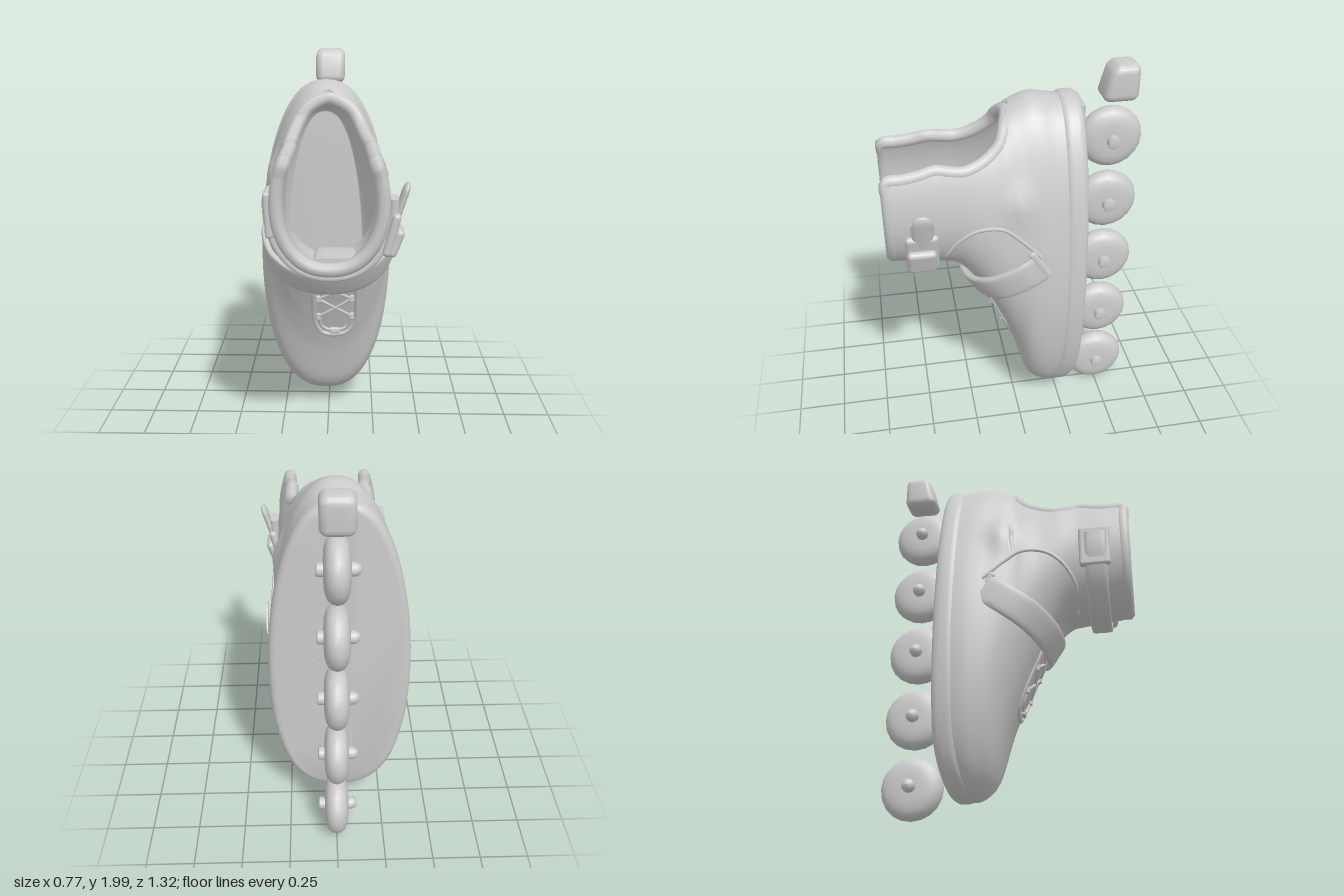
import * as THREE from 'three';
import { toCreasedNormals } from 'three/addons/utils/BufferGeometryUtils.js';
import { RoundedBoxGeometry } from 'three/addons/geometries/RoundedBoxGeometry.js';

const V = (x, y, z) => new THREE.Vector3(x, y, z);
const mat = new THREE.MeshStandardMaterial({ color: 0xcccccc, side: THREE.DoubleSide });

// Boot outline per height z: [z, low y, high y, half width, centre x, wrap (1 = closed heel)]
const ROWS = [
  [-0.26, 0.11, 1.84, 0.355, -0.02, 1],
  [-0.17, 0.09, 1.85, 0.352, -0.02, 1],
  [-0.11, 0.12, 1.865, 0.345, -0.015, 1],
  [-0.06, 0.19, 1.865, 0.335, -0.01, 1],
  [0.00, 0.39, 1.845, 0.322, -0.005, 1],
  [0.03, 0.48, 1.83, 0.315, 0, 1],
  [0.07, 0.58, 1.81, 0.308, 0.005, 0.847],
  [0.12, 0.70, 1.79, 0.30, 0.005, 0.79],
  [0.20, 0.87, 1.78, 0.285, 0.01, 0.73],
  [0.30, 1.00, 1.78, 0.275, 0.015, 0.685],
  [0.39, 1.03, 1.78, 0.27, 0.02, 0.70],
  [0.50, 1.04, 1.78, 0.27, 0.02, 0.675],
  [0.63, 1.06, 1.78, 0.268, 0.02, 0.656],
];

// Smoothly interpolated outline row at height z
function rowAt(z) {
  let i = 0;
  while (i < ROWS.length - 2 && z > ROWS[i + 1][0]) i++;
  const R = (k) => ROWS[Math.min(ROWS.length - 1, Math.max(0, k))];
  const [a, b, c, d] = [R(i - 1), R(i), R(i + 1), R(i + 2)];
  const t = (z - b[0]) / (c[0] - b[0]);
  return b.map((p, k) => {
    const m0 = (c[k] - a[k]) / 2, m1 = (d[k] - p) / 2, q = c[k];
    const v = p + t * (m0 + t * (3 * (q - p) - 2 * m0 - m1 + t * (2 * (p - q) + m0 + m1)));
    return k === 5 ? Math.min(1, v) : v;
  });
}

// Relative half width of an outline; blunter near the sole, wider at the toe (cs = 1)
const spread = (cs, z) => Math.max(0, 1 - cs * cs) ** (0.45 - 0.035 * Math.min(1, Math.max(0, -z / 0.15))) * (1 + 0.08 * cs);

// Point on the boot wall: s = 0 is the instep, s = +-1 the heel or notch edge
function wall(s, z, inset = 0) {
  const [, lo, hi, w, xc, wrap] = rowAt(z);
  const cs = Math.cos(s * Math.PI * wrap);
  const y = (lo + hi) / 2 - ((hi - lo) / 2 - inset) * cs;
  const ankle = 0.028 * Math.exp(-((y - 1.42) ** 2 + z * z) / 0.006); // soft ankle bulge
  return V(xc + Math.sign(s) * ((w - inset) * spread(cs, z) + ankle), y, z);
}

// Point on the side of the boot (dir = +-1) at a given y and z
function flank(dir, y, z) {
  const [, lo, hi, w, xc] = rowAt(z);
  return V(xc + dir * w * spread((lo + hi - 2 * y) / (hi - lo), z), y, z);
}

// Point on the instep at x, y, raised by lift
function on(x, y, lift) {
  let z = 0.3;
  while (z > -0.2 && Math.abs(x - rowAt(z)[4]) >= Math.abs(flank(1, y, z).x - rowAt(z)[4])) z -= 0.004;
  return V(x, y, z + lift);
}

// Skin closed rings of equal length, with optional fan caps and extra triangles
function loft(rings, caps, extra = []) {
  const n = rings[0].length, pts = rings.flat(), idx = [...extra];
  for (let k = 0; k < rings.length - 1; k++)
    for (let i = 0; i < n; i++) {
      const a = k * n + i, b = k * n + (i + 1) % n;
      idx.push(a, b, b + n, a, b + n, a + n);
    }
  if (caps) for (let i = 1; i < n - 1; i++) {
    const e = (rings.length - 1) * n;
    idx.push(0, i + 1, i, e, e + i, e + i + 1);
  }
  const g = new THREE.BufferGeometry().setFromPoints(pts);
  g.setIndex(idx);
  return toCreasedNormals(g, 1);
}

// Flat band with rounded edges along a path; side = direction of its width
function ribbon(points, side, width, thick) {
  const curve = new THREE.CatmullRomCurve3(points), rings = [];
  for (let k = 0; k <= 40; k++) {
    const p = curve.getPoint(k / 40);
    const n = curve.getTangent(k / 40).cross(side).normalize();
    rings.push(Array.from({ length: 16 }, (_, i) => {
      const a = (i + 0.5) / 16 * Math.PI * 2, c = Math.cos(a), s = Math.sin(a);
      return p.clone()
        .addScaledVector(side, Math.sign(c) * Math.abs(c) ** 0.35 * width / 2)
        .addScaledVector(n, Math.sign(s) * Math.abs(s) ** 0.5 * thick / 2);
    }));
  }
  return loft(rings, true);
}

const tube = (points, r, closed = false, n = 40) =>
  new THREE.TubeGeometry(new THREE.CatmullRomCurve3(points, closed), n, r, 8, closed);

// Move every vertex along z by a rule, then smooth all but the sharp edges
function bend(geo, rule) {
  const pos = geo.attributes.position;
  for (let i = 0; i < pos.count; i++) pos.setZ(i, pos.getZ(i) + rule(pos.getY(i), pos.getZ(i)));
  return toCreasedNormals(geo, 0.9);
}

export function createModel() {
  const model = new THREE.Group();
  const add = (name, geo, x = 0, y = 0, z = 0, parent = model) => {
    const m = new THREE.Mesh(geo, mat);
    m.name = name;
    m.position.set(x, y, z);
    parent.add(m);
    return m;
  };

  // Hollow boot: every ring runs along the outer wall and back along the bowl-shaped inner one
  const N = 64, L = 60, z0 = -0.26, z1 = 0.63, rings = [];
  for (let k = 0; k <= L; k++) {
    const z = z0 + (z1 - z0) * k / L, outer = [], inner = [];
    for (let i = 0; i <= N; i++) {
      const s = i / N * 2 - 1;
      outer.push(wall(s, z));
      const p = wall(-s, z, 0.055 + 1.6 * Math.max(0, 0.03 - z) ** 2);
      p.z = Math.max(z, -0.22);
      inner.push(p);
    }
    rings.push([...outer, ...inner]);
  }
  const M = 2 * N + 2, top = L * M, faces = [];
  for (let i = 0; i < N; i++) {
    const a = top + i, d = top + M - 1 - i;
    faces.push(a, a + 1, d - 1, a, d - 1, d);
    faces.push(M - 1, M - 1 - i, M - 2 - i); // insole
  }
  add('boot', loft(rings, false, faces));

  // Padded rim around the opening and the heel notch
  const rim = [V(0, 1.79, 0.035)], zs = [0.06, 0.085, 0.13, 0.2, 0.27, 0.34, 0.4, 0.48, 0.56];
  for (const z of zs) rim.push(wall(1, z, 0.028));
  for (let i = 0; i <= 20; i++) rim.push(wall(1 - i / 10, z1, 0.028));
  for (const z of zs.reverse()) rim.push(wall(-1, z, 0.028));
  add('rimPadding', tube(rim, 0.034, true, 180));

  // Tongue inside the front of the cuff
  add('tongue', ribbon([V(0.055, 0.97, 0.2), V(0.055, 1.07, 0.32), V(0.055, 1.105, 0.45), V(0.055, 1.115, 0.62)],
    V(1, 0, 0), 0.22, 0.05));

  // Sole with a rounded edge and a raised toe, and the mounting plate on it
  const sole = new THREE.Shape(Array.from({ length: 72 }, (_, i) => {
    const p = wall(i / 36 - 1, -0.17);
    return new THREE.Vector2(-0.02 + (p.x + 0.02) * 0.925, 0.972 + (p.y - 0.972) * 0.965);
  }));
  const soleGeo = new THREE.ExtrudeGeometry(sole, {
    depth: 0.035, bevelSize: 0.035, bevelThickness: 0.04, bevelSegments: 6 });
  add('sole', bend(soleGeo, (y) => 0.045 * Math.max(0, (0.4 - y) / 0.3) ** 2), 0, 0, -0.29);
  add('mountingPlate', new THREE.BoxGeometry(0.17, 1.48, 0.02), -0.005, 1.08, -0.331);

  // Curved lower edge of the cuff shell
  const edge = [[1.04, 0.37], [1.15, 0.37], [1.25, 0.31], [1.31, 0.22], [1.31, 0.1], [1.25, 0.02], [1.14, -0.09]];
  for (const dir of [-1, 1])
    add('cuffEdge', tube(edge.map(([y, z]) => flank(dir, y, z)), 0.01, false, 50));

  // Instep strap
  const half = [[0.335, 1.085, -0.08], [0.335, 1.03, 0.01], [0.285, 0.955, 0.13], [0.16, 0.895, 0.215]];
  const strap = [
    ...half.map(([x, y, z]) => V(-x, y, z)), V(0.005, 0.875, 0.24),
    ...half.reverse().map(([x, y, z]) => V(x, y, z))];
  add('instepStrap', ribbon(strap, V(0, 0.83, 0.55).normalize(), 0.155, 0.035));
  for (const s of [-1, 1]) {
    const clip = add('strapClip', new RoundedBoxGeometry(0.03, 0.035, 0.18, 3, 0.012), s * 0.328, 1.1, -0.085);
    clip.rotation.x = -0.98;
  }

  // Cuff strap with a lever buckle on the left and an anchor on the right
  const cuff = [];
  for (let i = 0; i <= 16; i++) cuff.push(wall(-0.72 + i * 0.09, 0.485, -0.025));
  add('cuffStrap', ribbon(cuff, V(0, 0, 1), 0.11, 0.04));
  const buckle = new THREE.Group();
  buckle.name = 'buckle';
  model.add(buckle);
  add('buckleFrame', new RoundedBoxGeometry(0.04, 0.21, 0.16, 4, 0.02), 0.305, 1.23, 0.49, buckle).rotation.z = -0.25;
  add('bucklePad', new RoundedBoxGeometry(0.045, 0.14, 0.14, 4, 0.022), 0.325, 1.19, 0.495, buckle).rotation.z = -0.35;
  const lever = add('lever', new THREE.CapsuleGeometry(0.05, 0.14, 8, 16), 0.345, 1.355, 0.485, buckle);
  lever.rotation.z = -0.3;
  lever.scale.x = 0.35;
  add('strapAnchor', new RoundedBoxGeometry(0.04, 0.22, 0.16, 3, 0.016), -0.265, 1.32, 0.48).rotation.z = 0.05;

  // Lace panel: raised border, eyelets and crossed laces
  const border = [[-0.075, 0.9], [-0.075, 0.75], [-0.07, 0.6], [-0.035, 0.53], [0.03, 0.515],
    [0.1, 0.53], [0.145, 0.6], [0.15, 0.75], [0.15, 0.9]];
  add('lacePanelBorder', tube(border.map(([x, y]) => on(x, y, -0.002)), 0.015, false, 60));
  const rows = [0.64, 0.76, 0.86], [xl, xr] = [-0.05, 0.125], up = 0.008;
  rows.forEach((y, i) => {
    for (const x of [xl, xr])
      add('eyelet', new RoundedBoxGeometry(0.03, 0.045, 0.03, 2, 0.01), ...on(x, y, 0.002).toArray());
    if (i < 2) for (const [a, b] of [[xl, xr], [xr, xl]])
      add('lace', tube([on(a, y, up), on(0.04, (y + rows[i + 1]) / 2, up), on(b, rows[i + 1], up)], 0.008));
  });
  add('laceLoop', tube([on(xl, 0.64, up), on(-0.03, 0.57, up), on(0.035, 0.545, up),
    on(0.1, 0.57, up), on(xr, 0.64, up)], 0.008));
  add('laceKnot', new RoundedBoxGeometry(0.06, 0.035, 0.03, 2, 0.01), ...on(0.035, 0.545, 0.005).toArray());

  // Five inline wheels with axle caps
  const turned = (pts, n) =>
    new THREE.LatheGeometry(pts.map(([r, h]) => new THREE.Vector2(r, h)), n).rotateZ(Math.PI / 2);
  const cheek = [[0, 0.063], [0.05, 0.063], [0.09, 0.06], [0.12, 0.053], [0.142, 0.041], [0.156, 0.022]];
  const wheelGeo = turned([...cheek.map(([r, h]) => [r, -h]), [0.162, 0], ...cheek.reverse()], 20);
  const axleGeo = turned([[0, -0.095], [0.027, -0.095], [0.033, -0.088], [0.033, 0.085], [0.022, 0.105], [0, 0.11]], 16);
  for (let i = 0; i < 5; i++) {
    const y = 0.168 + i * 0.361;
    add('wheel', wheelGeo, 0, y, -0.495);
    add('axle', axleGeo, 0, y, -0.495);
  }

  // Heel brake: rounded block whose front curves back towards the top
  const brakeGeo = new RoundedBoxGeometry(0.16, 0.185, 0.18, 5, 0.04);
  add('heelBrake', bend(brakeGeo, (y, z) => -8.6 * (y + 0.0925) ** 2 * (z + 0.09)), 0, 1.9075, -0.52);

  return model;
}
